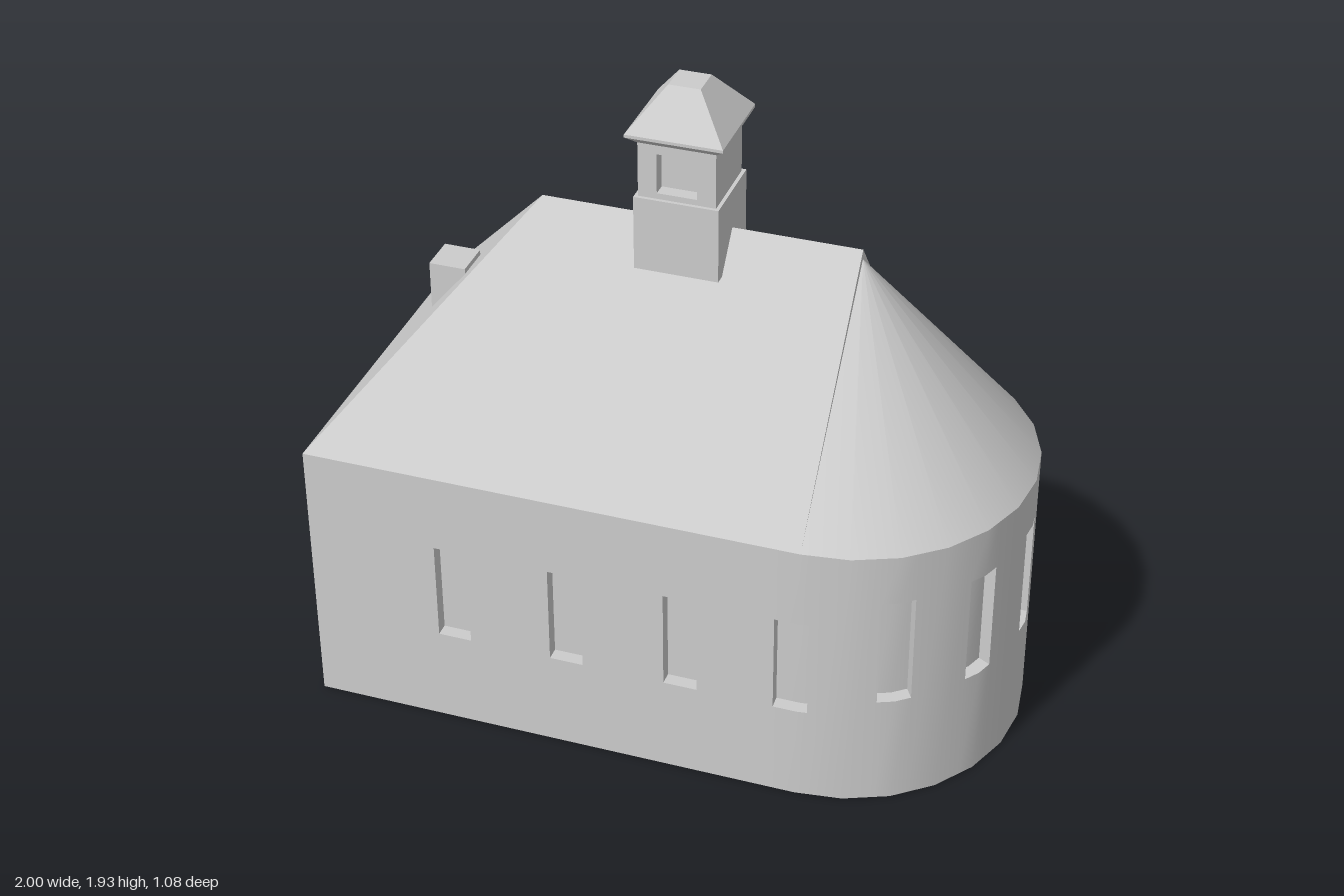
import * as THREE from 'three';
import { toCreasedNormals } from 'three/addons/utils/BufferGeometryUtils.js';

const stone = new THREE.MeshStandardMaterial({ color: 0xcccccc });
stone.name = 'pale grey stone';

const EAVES = 0.85, RIDGE = 1.5, HALF = 0.54, APSE_X = 0.475, APSE_R = 0.525;

function part(name, geometry, x = 0, y = 0, z = 0) {
  const mesh = new THREE.Mesh(geometry, stone);
  mesh.name = name;
  mesh.position.set(x, y, z);
  return mesh;
}

// Geometry from polygons given as corner loops (fanned into triangles)
function fromPolygons(polygons) {
  const pos = [];
  for (const p of polygons)
    for (let i = 1; i < p.length - 1; i++) pos.push(...p[0], ...p[i], ...p[i + 1]);
  const g = new THREE.BufferGeometry();
  g.setAttribute('position', new THREE.Float32BufferAttribute(pos, 3));
  g.computeVertexNormals();
  return g;
}

// Running length at each corner of a closed [x, z] outline
function lengths(outline) {
  const s = [0];
  outline.forEach((p, i) => {
    const q = outline[(i + 1) % outline.length];
    s.push(s[i] + Math.hypot(q[0] - p[0], q[1] - p[1]));
  });
  return s;
}

// Closed wall along an outline, with recessed openings { s, w, y0, y1 }
function wall(outline, bottom, top, openings, depth) {
  const s = lengths(outline);
  const at = (d) => {
    let i = 0;
    while (i < outline.length - 1 && d > s[i + 1]) i++;
    const p = outline[i], q = outline[(i + 1) % outline.length];
    const t = (d - s[i]) / (s[i + 1] - s[i]);
    return [p[0] + (q[0] - p[0]) * t, p[1] + (q[1] - p[1]) * t];
  };
  const holes = openings.map((o) => {
    const from = o.s - o.w / 2, to = o.s + o.w / 2;
    const a = at(from), b = at(to), k = depth / Math.hypot(b[0] - a[0], b[1] - a[1]);
    return { ...o, from, to, inward: [(b[1] - a[1]) * k, (a[0] - b[0]) * k] };
  });
  const breaks = [...s, ...holes.flatMap((h) => [h.from, h.to])]
    .sort((a, b) => a - b)
    .filter((v, i, list) => i === 0 || v - list[i - 1] > 1e-5);

  const faces = [], floor = [];
  const up = (p, y) => [p[0], y, p[1]];
  const panel = (a, b, y0, y1) => faces.push([up(a, y0), up(b, y0), up(b, y1), up(a, y1)]);
  const shelf = (a, b, c, d, y) => faces.push([up(a, y), up(b, y), up(c, y), up(d, y)]);
  for (let i = 0; i < breaks.length - 1; i++) {
    const d0 = breaks[i], d1 = breaks[i + 1], mid = (d0 + d1) / 2;
    const a = at(d0), b = at(d1);
    const h = holes.find((o) => mid > o.from && mid < o.to);
    floor.push(a);
    if (!h) {
      panel(a, b, bottom, top);
      continue;
    }
    const [ai, bi] = [a, b].map((p) => [p[0] + h.inward[0], p[1] + h.inward[1]]);
    panel(a, b, h.y1, top);
    panel(ai, bi, h.y0, h.y1);
    shelf(ai, bi, b, a, h.y1);
    if (h.y0 > bottom) {
      panel(a, b, bottom, h.y0);
      shelf(a, b, bi, ai, h.y0);
    } else floor.push(ai, bi);
    if (Math.abs(d0 - h.from) < 1e-4) panel(a, ai, h.y0, h.y1);
    if (Math.abs(d1 - h.to) < 1e-4) panel(bi, b, h.y0, h.y1);
  }
  return { sides: toCreasedNormals(fromPolygons(faces), 0.5), floor };
}

function floorGeometry(points) {
  const shape = new THREE.Shape(points.map(([x, z]) => new THREE.Vector2(x, z)));
  return new THREE.ShapeGeometry(shape).rotateX(Math.PI / 2);
}

function createChurchBody() {
  const group = new THREE.Group();
  group.name = 'churchBody';

  // Outline: front wall, rounded apse, back wall, entrance wall
  const outline = [[-1, HALF]];
  for (let i = 0; i <= 12; i++) {
    const t = Math.PI / 2 - (i * Math.PI) / 12;
    outline.push([APSE_X + APSE_R * Math.cos(t), HALF * Math.sin(t)]);
  }
  outline.push([-1, -HALF]);
  const s = lengths(outline);

  // Nave windows on both sides, apse windows and the entrance
  const openings = [];
  for (const x of [-0.56, -0.215, 0.13, 0.455]) {
    openings.push({ s: x + 1, w: 0.1, y0: 0.3, y1: 0.61 });
    openings.push({ s: s[13] + APSE_X - x, w: 0.1, y0: 0.3, y1: 0.61 });
  }
  for (const i of [3, 5, 7, 9, 11]) openings.push({ s: s[i], w: 0.1, y0: 0.35, y1: 0.695 });
  openings.push({ s: s[14] + HALF, w: 0.13, y0: 0, y1: 0.31 });

  const { sides, floor } = wall(outline, 0, EAVES, openings, 0.04);
  group.add(part('walls', sides), part('floor', floorGeometry(floor)));
  return group;
}

function createRoof() {
  const group = new THREE.Group();
  group.name = 'roof';
  const hipX = -0.46;
  const ridgeA = [hipX, RIDGE, 0], ridgeB = [APSE_X, RIDGE, 0];
  const fl = [-1, EAVES, HALF], fr = [APSE_X, EAVES, HALF];
  const bl = [-1, EAVES, -HALF], br = [APSE_X, EAVES, -HALF];
  group.add(part('naveRoof', fromPolygons([
    [fl, fr, ridgeB, ridgeA],
    [br, bl, ridgeA, ridgeB],
    [bl, fl, ridgeA],
    [fr, br, ridgeB],
  ])));

  // Half cone over the apse
  const h = 0.62;
  const cone = new THREE.ConeGeometry(1, h, 12, 1, true, 0, Math.PI).scale(APSE_R, 1, HALF);
  group.add(part('apseRoof', cone, APSE_X, EAVES + h / 2, 0));

  group.add(part('chimney', new THREE.BoxGeometry(0.11, 0.17, 0.115), -0.74, 1.16, 0));
  return group;
}

function createBellTower() {
  const group = new THREE.Group();
  group.name = 'bellTower';
  group.position.x = -0.022;
  group.add(part('towerBase', new THREE.BoxGeometry(0.245, 0.225, 0.245), 0, 1.505, 0));

  // Belfry with an opening on the front and the back
  const r = 0.112;
  const square = [[-r, r], [r, r], [r, -r], [-r, -r]];
  const openings = [r, 5 * r].map((s) => ({ s, w: 0.115, y0: 1.635, y1: 1.755 }));
  group.add(part('belfry', wall(square, 1.6, 1.79, openings, 0.04).sides));

  // Square cap with flared eaves and a flat top
  const profile = [[r, 1.782], [0.14, 1.806], [0.14, 1.815], [0.046, 1.935], [0, 1.935]]
    .map(([x, y]) => new THREE.Vector2(x * Math.SQRT2, y));
  const cap = new THREE.LatheGeometry(profile, 4, Math.PI / 4).toNonIndexed();
  cap.computeVertexNormals();
  group.add(part('towerCap', cap));
  return group;
}

export function createModel() {
  const model = new THREE.Group();
  model.name = 'church';
  model.add(createChurchBody(), createRoof(), createBellTower());
  return model;
}
